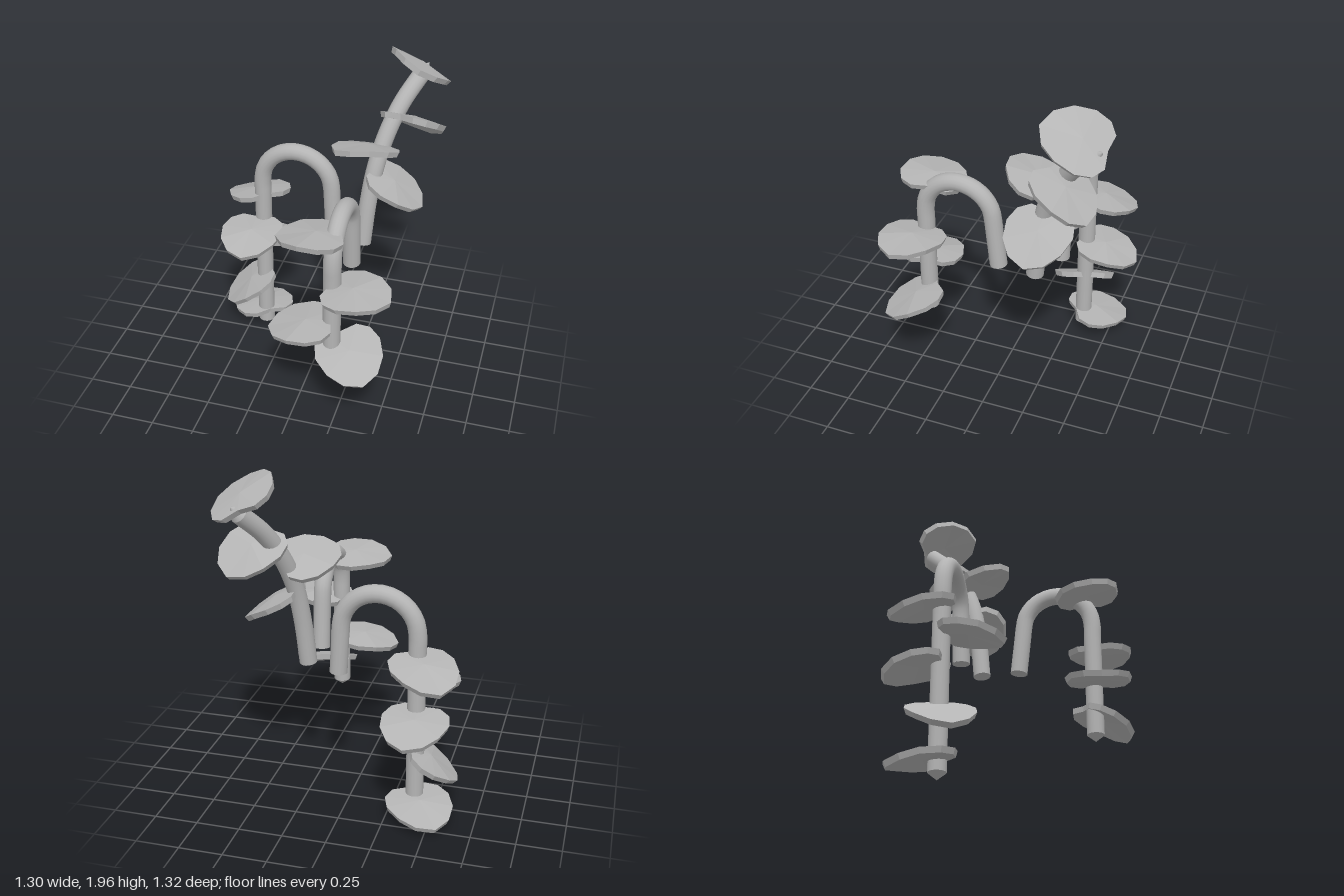
import * as THREE from 'three';

const V = (x, y, z) => new THREE.Vector3(x, y, z);
const R = 0.05;

// Half outline of a leaf: sideways (w) and outward (u) from the leaf middle
const HALF = [[0.1, -0.18], [0.165, -0.135], [0.19, -0.05], [0.165, 0.06], [0.1, 0.145]];
const OUTLINE = [[0, -0.165], ...HALF, [0, 0.185], ...HALF.slice().reverse().map(([w, u]) => [-w, u])];

// Faceted slab with a raised middle, drooping tip and a slightly smaller underside
function leafGeometry() {
  const thick = 0.032;
  const droop = (w, u) => 0.012 - 0.35 * w * w - (u > 0 ? 1.1 * u * u : 0.3 * u * u);
  const top = OUTLINE.map(([w, u]) => V(w, droop(w, u) + thick / 2, u));
  const low = OUTLINE.map(([w, u]) => V(w * 0.94, droop(w, u) - thick / 2, u * 0.94));
  const topMid = V(0, 0.032, -0.03), lowMid = V(0, -0.006, -0.03);
  const p = [];
  const tri = (...vs) => vs.forEach((v) => p.push(v.x, v.y, v.z));
  top.forEach((a, i) => {
    const j = (i + 1) % top.length;
    tri(topMid, top[j], a);
    tri(lowMid, low[i], low[j]);
    tri(a, top[j], low[j]);
    tri(a, low[j], low[i]);
  });
  const g = new THREE.BufferGeometry();
  g.setAttribute('position', new THREE.Float32BufferAttribute(p, 3));
  g.computeVertexNormals();
  return g;
}

// Arch: rises from start, bends over a half circle and hangs down to endY
function archPoints(start, rise, fall, y, endY) {
  const pts = [start, start.clone().lerp(rise.clone().setY(y), 0.8)];
  for (let i = 0; i <= 8; i++) {
    const a = (i / 8) * Math.PI;
    const p = rise.clone().lerp(fall, (1 - Math.cos(a)) / 2);
    p.y = y + Math.sin(a) * rise.clone().setY(0).distanceTo(fall.clone().setY(0)) / 2;
    pts.push(p);
  }
  pts.push(fall.clone().setY(y - 0.1), fall.clone().setY(endY));
  return pts;
}

export function createModel() {
  const model = new THREE.Group();
  const grey = new THREE.MeshStandardMaterial({ color: 0xb4b4b4 });
  grey.name = 'plainGrey';
  const leafGeo = leafGeometry();

  const add = (parent, geo, name) => {
    const m = new THREE.Mesh(geo, grey);
    m.name = name;
    parent.add(m);
    return m;
  };

  // Stem tube with a flat cut end and a short pointed tip
  function stem(parent, points, tipLength) {
    const curve = new THREE.CatmullRomCurve3(points);
    add(parent, new THREE.TubeGeometry(curve, 48, R, 16), 'stem');
    const cap = add(parent, new THREE.CircleGeometry(R, 16), 'cutEnd');
    cap.position.copy(points[0]);
    cap.quaternion.setFromUnitVectors(V(0, 0, 1), curve.getTangent(0).negate());
    const dir = curve.getTangent(1);
    const tip = add(parent, new THREE.ConeGeometry(R, tipLength, 16, 1, true), 'tip');
    tip.position.copy(points[points.length - 1]).addScaledVector(dir, tipLength / 2);
    tip.quaternion.setFromUnitVectors(V(0, 1, 0), dir);
  }

  // Leaf: centre, slopes along x and z, and outward heading
  function leaf(parent, [x, y, z, sx, sz, ox, oz]) {
    const m = add(parent, leafGeo, 'leaf');
    const up = V(-sx, 1, -sz).normalize();
    const out = V(ox, sx * ox + sz * oz, oz).normalize();
    const side = new THREE.Vector3().crossVectors(up, out);
    m.quaternion.setFromRotationMatrix(new THREE.Matrix4().makeBasis(side, up, out));
    m.position.set(x, y, z);
  }

  const branches = [
    {
      name: 'longHangingBranch', tip: 0.04,
      points: archPoints(V(0.045, 0.83, -0.31), V(0.03, 0, -0.315), V(-0.4, 0, -0.33), 1.1, 0.05),
      leaves: [
        [-0.47, 0.945, -0.44, 0.15, 0.2, -0.62, -0.78],
        [-0.43, 0.79, -0.15, 0.04, -0.15, 0, 1],
        [-0.41, 0.625, -0.47, 0, 0.2, 0.1, -1],
        [-0.49, 0.335, -0.29, 0.62, -0.17, -0.85, 0.5],
        [-0.46, 0.105, -0.42, 0.08, 0.12, -0.6, -0.8],
      ],
    },
    {
      name: 'shortHangingBranch', tip: 0.04,
      points: archPoints(V(0.235, 0.83, -0.005), V(0.235, 0, 0.025), V(0.235, 0, 0.43), 1.115, 0.43),
      leaves: [
        [0.11, 1.265, 0.42, 0, 0.15, -1, 0.2],
        [0.39, 0.98, 0.47, 0.1, 0, 1, 0.2],
        [0.07, 0.71, 0.47, 0.12, 0, -1, 0.15],
        [0.36, 0.545, 0.48, -0.08, -0.4, 0.6, 0.8],
      ],
    },
    {
      name: 'risingBranch', tip: 0.07,
      points: [V(0.245, 0.83, -0.225), V(0.265, 1.1, -0.255), V(0.29, 1.3, -0.295),
        V(0.33, 1.48, -0.37), V(0.39, 1.64, -0.47), V(0.475, 1.78, -0.6)],
      leaves: [
        [0.23, 1.455, -0.22, 0, 0.4, -0.74, 0.67],
        [0.42, 1.195, -0.29, -0.52, 0, 1, 0.1],
        [0.48, 1.535, -0.465, -0.12, 0.58, 0.5, -0.85],
        [0.48, 1.86, -0.5, -0.5, 0.5, 0.2, 1],
      ],
    },
  ];

  for (const b of branches) {
    const group = new THREE.Group();
    group.name = b.name;
    stem(group, b.points, b.tip);
    b.leaves.forEach((l) => leaf(group, l));
    model.add(group);
  }
  return model;
}
